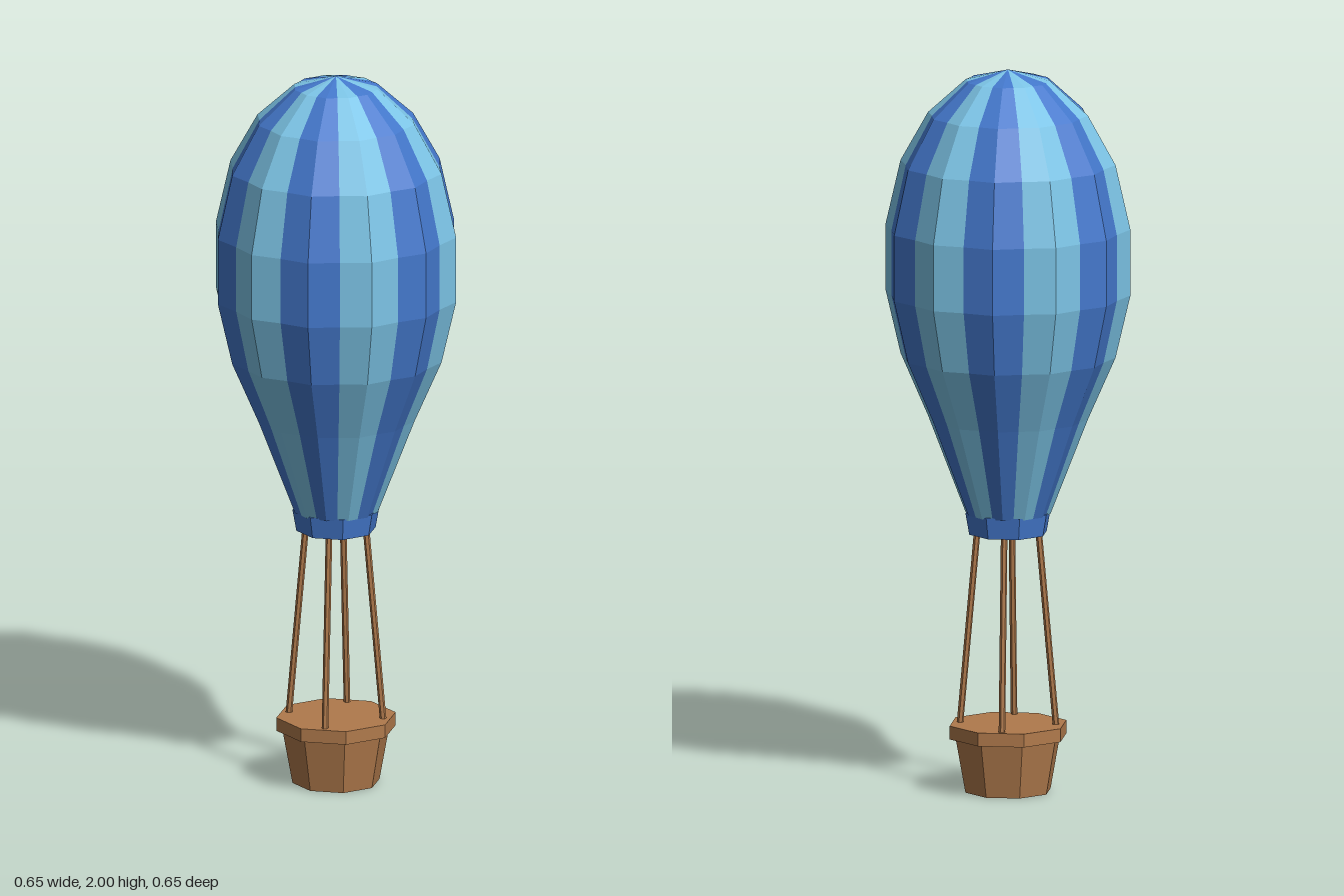
import * as THREE from 'three';

const BLUE = 0x4478cc, SKY = 0x7cc4e6, WOOD = 0xb07a4c;

const material = (color, side = THREE.FrontSide) =>
  new THREE.MeshStandardMaterial({ color, flatShading: true, side });

function addMesh(parent, name, geometry, mat) {
  const mesh = new THREE.Mesh(geometry, mat);
  mesh.name = name;
  parent.add(mesh);
  return mesh;
}

// Envelope profile from mouth to crown: [radius, height]
const PROFILE = [
  [0.111, 0.77], [0.209, 1.035], [0.281, 1.207], [0.32, 1.381], [0.32, 1.564],
  [0.281, 1.742], [0.209, 1.877], [0.111, 1.97], [0, 2],
];
const GORES = 12;

// Gores of one parity; each one puffs out along its middle line
function goreGeometry(parity) {
  const point = (row, j) => {
    const [r, y] = PROFILE[row];
    const a = (j * Math.PI) / GORES;
    const puffed = r * (j % 2 ? 1.05 : 1);
    return [puffed * Math.cos(a), y, puffed * Math.sin(a)];
  };
  const positions = [];
  for (let gore = parity; gore < GORES; gore += 2) {
    for (const j of [gore * 2, gore * 2 + 1]) {
      for (let row = 0; row < PROFILE.length - 1; row++) {
        const a = point(row, j), b = point(row, j + 1);
        const c = point(row + 1, j), d = point(row + 1, j + 1);
        positions.push(...a, ...c, ...b);
        if (row < PROFILE.length - 2) positions.push(...b, ...c, ...d);
      }
    }
  }
  const geometry = new THREE.BufferGeometry();
  geometry.setAttribute('position', new THREE.Float32BufferAttribute(positions, 3));
  geometry.computeVertexNormals();
  return geometry;
}

// Octagonal tapered block with flats facing the axes; sizes are half-widths across flats
function octagon(top, bottom, y0, y1) {
  const k = 1 / Math.cos(Math.PI / 8);
  return new THREE.CylinderGeometry(top * k, bottom * k, y1 - y0, 8)
    .rotateY(Math.PI / 8)
    .translate(0, (y0 + y1) / 2, 0);
}

// Straight rope between two points
function rope(from, to) {
  const dir = to.clone().sub(from);
  const geometry = new THREE.CylinderGeometry(0.009, 0.009, dir.length(), 6);
  geometry.applyQuaternion(new THREE.Quaternion().setFromUnitVectors(
    new THREE.Vector3(0, 1, 0), dir.normalize()));
  const mid = from.clone().add(to).multiplyScalar(0.5);
  return geometry.translate(mid.x, mid.y, mid.z);
}

export function createModel() {
  const model = new THREE.Group();
  model.name = 'hotAirBalloon';
  const wood = material(WOOD);

  // Striped envelope
  const envelope = new THREE.Group();
  envelope.name = 'envelope';
  addMesh(envelope, 'blueGores', goreGeometry(0), material(BLUE, THREE.DoubleSide));
  addMesh(envelope, 'skyGores', goreGeometry(1), material(SKY, THREE.DoubleSide));
  addMesh(envelope, 'mouthCollar', octagon(0.111, 0.101, 0.715, 0.775), material(BLUE));
  model.add(envelope);

  // Four ropes on the diagonals
  const ropes = new THREE.Group();
  ropes.name = 'ropes';
  for (const sx of [-1, 1]) {
    for (const sz of [-1, 1]) {
      const low = new THREE.Vector3(sx * 0.094, 0.17, sz * 0.094);
      const high = new THREE.Vector3(sx * 0.059, 0.73, sz * 0.059);
      addMesh(ropes, 'rope', rope(low, high), wood);
    }
  }
  model.add(ropes);

  // Basket with a wider rim
  const basket = new THREE.Group();
  basket.name = 'basket';
  addMesh(basket, 'basketBody', octagon(0.138, 0.111, 0, 0.16), wood);
  addMesh(basket, 'basketRim', octagon(0.152, 0.152, 0.15, 0.187), wood);
  model.add(basket);

  return model;
}
